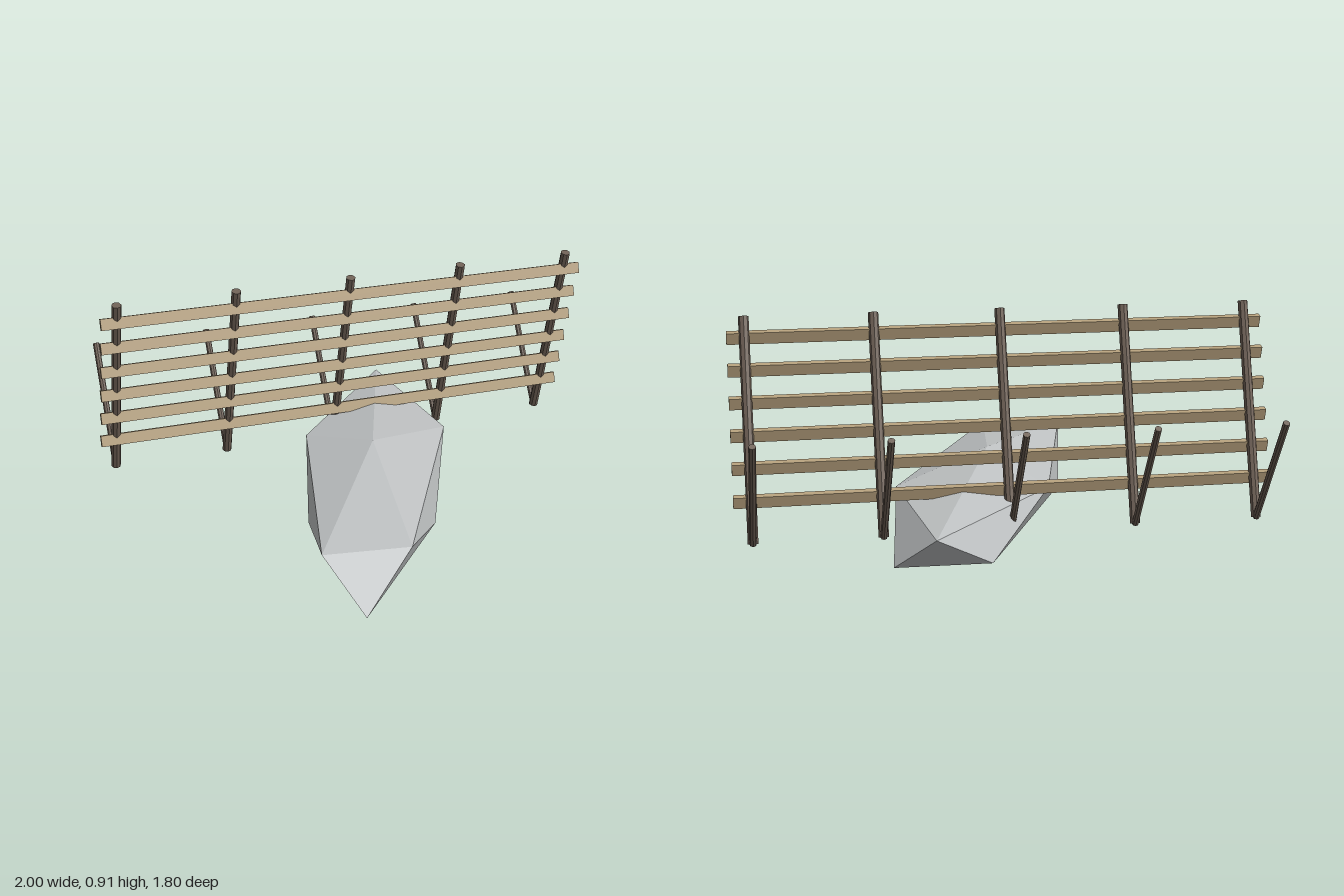
import * as THREE from 'three';

export function createModel() {
  const model = new THREE.Group();
  const material = (name, color) => {
    const m = new THREE.MeshStandardMaterial({ color, flatShading: true });
    m.name = name;
    return m;
  };
  const plankWood = material('plank wood', 0xb39e7b);
  const postWood = material('post wood', 0x6e6055);
  const stone = material('grey stone', 0xbfc2c3);

  const add = (name, geometry, mat) => {
    const mesh = new THREE.Mesh(geometry, mat);
    mesh.name = name;
    model.add(mesh);
    return mesh;
  };

  // Round pole between two points
  const pole = (name, a, b, radius) => {
    const dir = b.clone().sub(a);
    const mesh = add(name, new THREE.CylinderGeometry(radius, radius, dir.length(), 8), postWood);
    mesh.position.copy(a).add(b).multiplyScalar(0.5);
    mesh.quaternion.setFromUnitVectors(new THREE.Vector3(0, 1, 0), dir.normalize());
  };

  // Leaning posts, each with a brace rising backwards from its foot
  const foot = { y: 0.12, z: -0.522 };
  const head = { y: 0.9, z: -0.277 };
  for (let i = -2; i <= 2; i++) {
    const x = i * 0.468;
    const base = new THREE.Vector3(x, foot.y, foot.z);
    pole('post', base, new THREE.Vector3(x, head.y, head.z), 0.019);
    pole('brace', base, new THREE.Vector3(x, 0.552, -0.8), 0.013);
  }

  // Planks across the front of the posts, tipped against the lean
  const slope = (head.z - foot.z) / (head.y - foot.y);
  for (let i = 0; i < 6; i++) {
    const y = 0.262 + i * 0.1125;
    const plank = add('plank', new THREE.BoxGeometry(2, 0.045, 0.022), plankWood);
    plank.position.set(0, y, foot.z + (y - foot.y) * slope + 0.014);
    plank.rotation.x = -Math.atan(slope);
  }

  // Boulder: two five-point rings between a top and a bottom point
  const upper = [[0.33, -0.9], [-0.18, -0.33], [-0.435, 0.66], [-0.11, 0.71], [0.385, -0.22]]
    .map(([x, z]) => [x, 0.22, z]);
  const lower = [[0.11, -0.76], [-0.325, 0.15], [-0.35, 0.9], [0.135, 0.32], [0.46, -0.75]]
    .map(([x, z]) => [x, 0.08, z]);
  const top = [0, 0.305, -0.02];
  const bottom = [0, 0, -0.02];
  const corners = [];
  for (let i = 0; i < 5; i++) {
    const j = (i + 1) % 5;
    corners.push(
      top, upper[i], upper[j],
      upper[i], lower[i], upper[j],
      lower[i], lower[j], upper[j],
      bottom, lower[j], lower[i],
    );
  }
  const rock = new THREE.BufferGeometry();
  rock.setAttribute('position', new THREE.Float32BufferAttribute(corners.flat(), 3));
  rock.computeVertexNormals();
  add('boulder', rock, stone);

  return model;
}
